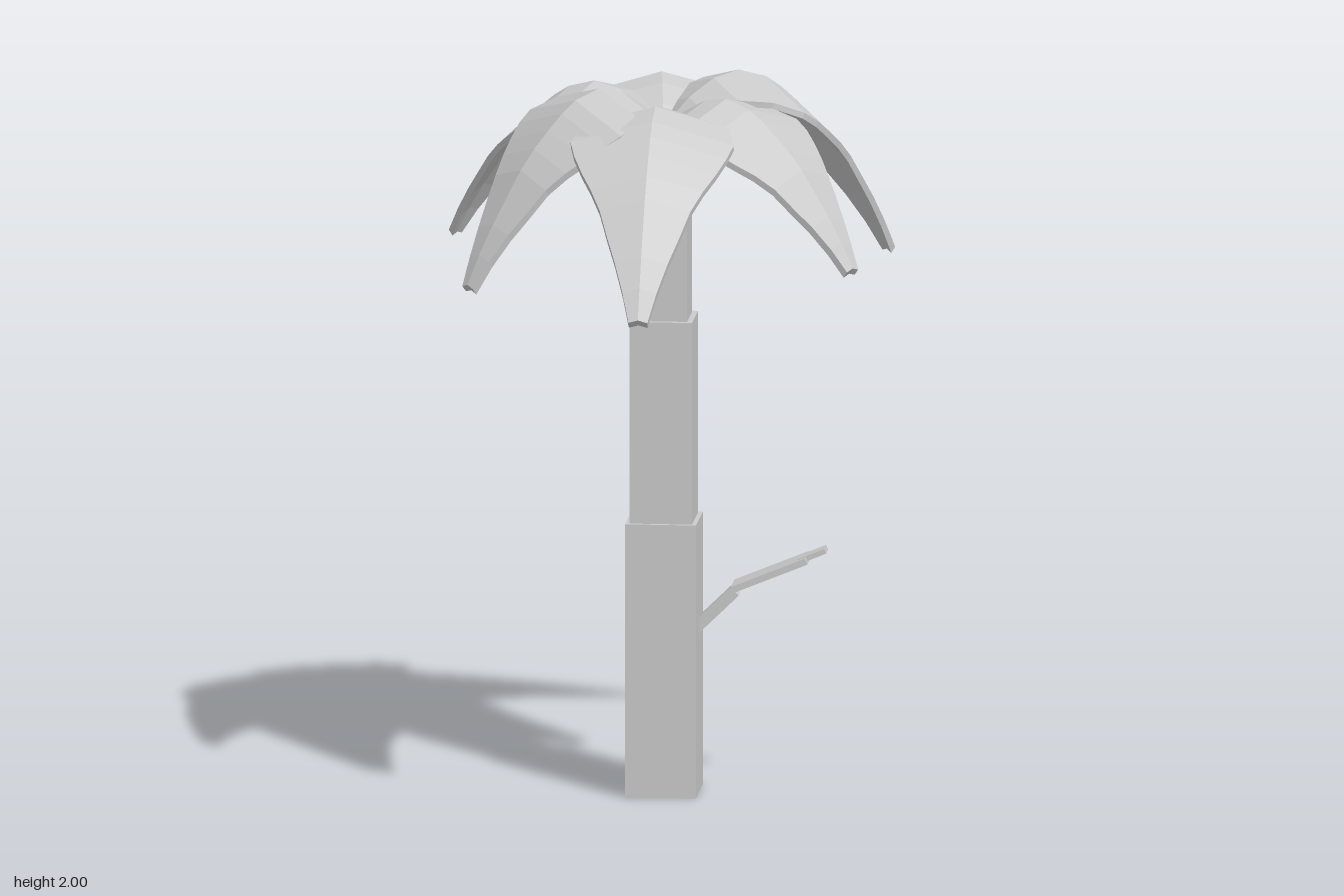
import * as THREE from 'three';

const material = new THREE.MeshStandardMaterial({ color: 0xcccccc, flatShading: true });
const CENTRE = 0.007;

function addBox(parent, name, w, h, d, x, y, tilt = 0) {
  const mesh = new THREE.Mesh(new THREE.BoxGeometry(w, h, d), material);
  mesh.name = name;
  mesh.position.set(x, y, CENTRE);
  mesh.rotation.z = tilt;
  parent.add(mesh);
}

// Bar running between two points in the x-y plane
function addBar(parent, name, [x0, y0], [x1, y1], thick, depth) {
  addBox(parent, name, Math.hypot(x1 - x0, y1 - y0), thick, depth,
    (x0 + x1) / 2, (y0 + y1) / 2, Math.atan2(y1 - y0, x1 - x0));
}

// Frond stations: [fraction of length, height from tip 0 to crest 1, half width]
const STATIONS = [
  [0, 0.74, 0.008], [0.11, 0.88, 0.065], [0.22, 0.97, 0.14], [0.33, 1, 0.205],
  [0.45, 0.95, 0.225], [0.52, 0.885, 0.21], [0.59, 0.8, 0.185], [0.66, 0.71, 0.155],
  [0.73, 0.6, 0.125], [0.80, 0.46, 0.1], [0.87, 0.32, 0.073], [0.94, 0.16, 0.047], [1, 0, 0.026],
];

// Thin arched leaf along +z with a raised centre ridge
function frondGeometry(length, tipY, crestY) {
  const points = [], index = [];
  STATIONS.forEach(([t, h, w], i) => {
    const z = t * length, y = tipY + h * (crestY - tipY), edge = y - 0.28 * w;
    const dy = 0.016, dz = 0.012 * t;
    points.push(-w, edge, z, 0, y, z, w, edge, z,
      w, edge - dy, z - dz, 0, y - dy, z - dz, -w, edge - dy, z - dz);
    if (i === 0) return;
    for (let j = 0; j < 6; j++) {
      const k = (j + 1) % 6, p = (i - 1) * 6, q = i * 6;
      index.push(p + j, q + j, q + k, p + j, q + k, p + k);
    }
  });
  // End caps
  const last = (STATIONS.length - 1) * 6;
  for (const [a, b, c] of [[0, 5, 4], [0, 4, 1], [1, 4, 3], [1, 3, 2]]) {
    index.push(last + a, last + b, last + c, a, c, b);
  }
  const geometry = new THREE.BufferGeometry();
  geometry.setAttribute('position', new THREE.Float32BufferAttribute(points, 3));
  geometry.setIndex(index);
  const flat = geometry.toNonIndexed();
  flat.computeVertexNormals();
  return flat;
}

export function createModel() {
  const model = new THREE.Group();
  model.name = 'palmTree';

  // Trunk of three stacked, narrowing blocks
  const trunk = new THREE.Group();
  trunk.name = 'trunk';
  model.add(trunk);
  for (const [name, width, y0, y1] of [
    ['lowerTrunk', 0.196, 0, 0.765], ['middleTrunk', 0.172, 0.765, 1.33], ['upperTrunk', 0.142, 1.33, 1.84],
  ]) addBox(trunk, name, width, y1 - y0, width, CENTRE, (y0 + y1) / 2);

  // Side shoot
  const shoot = new THREE.Group();
  shoot.name = 'sideShoot';
  model.add(shoot);
  addBar(shoot, 'shootStem', [0.085, 0.45], [0.205, 0.567], 0.032, 0.04);
  addBar(shoot, 'shootLeaf', [0.2, 0.577], [0.405, 0.661], 0.018, 0.11);
  addBar(shoot, 'shootTip', [0.38, 0.655], [0.455, 0.686], 0.014, 0.06);

  // Crown: [tip x, tip z, tip y, crest y]
  const crown = new THREE.Group();
  crown.name = 'crown';
  model.add(crown);
  for (const [x, z, tipY, crestY] of [
    [0.007, 0.738, 1.465, 1.967], [0.56, 0.33, 1.54, 1.965], [0.595, -0.385, 1.47, 2],
    [-0.085, -0.74, 1.48, 1.967], [-0.6, -0.258, 1.52, 1.97], [-0.495, 0.415, 1.49, 1.993],
  ]) {
    const dx = x - CENTRE, dz = z - CENTRE;
    const frond = new THREE.Mesh(frondGeometry(Math.hypot(dx, dz), tipY, crestY), material);
    frond.name = 'frond';
    frond.position.set(CENTRE, 0, CENTRE);
    frond.rotation.y = Math.atan2(dx, dz);
    crown.add(frond);
  }
  return model;
}
